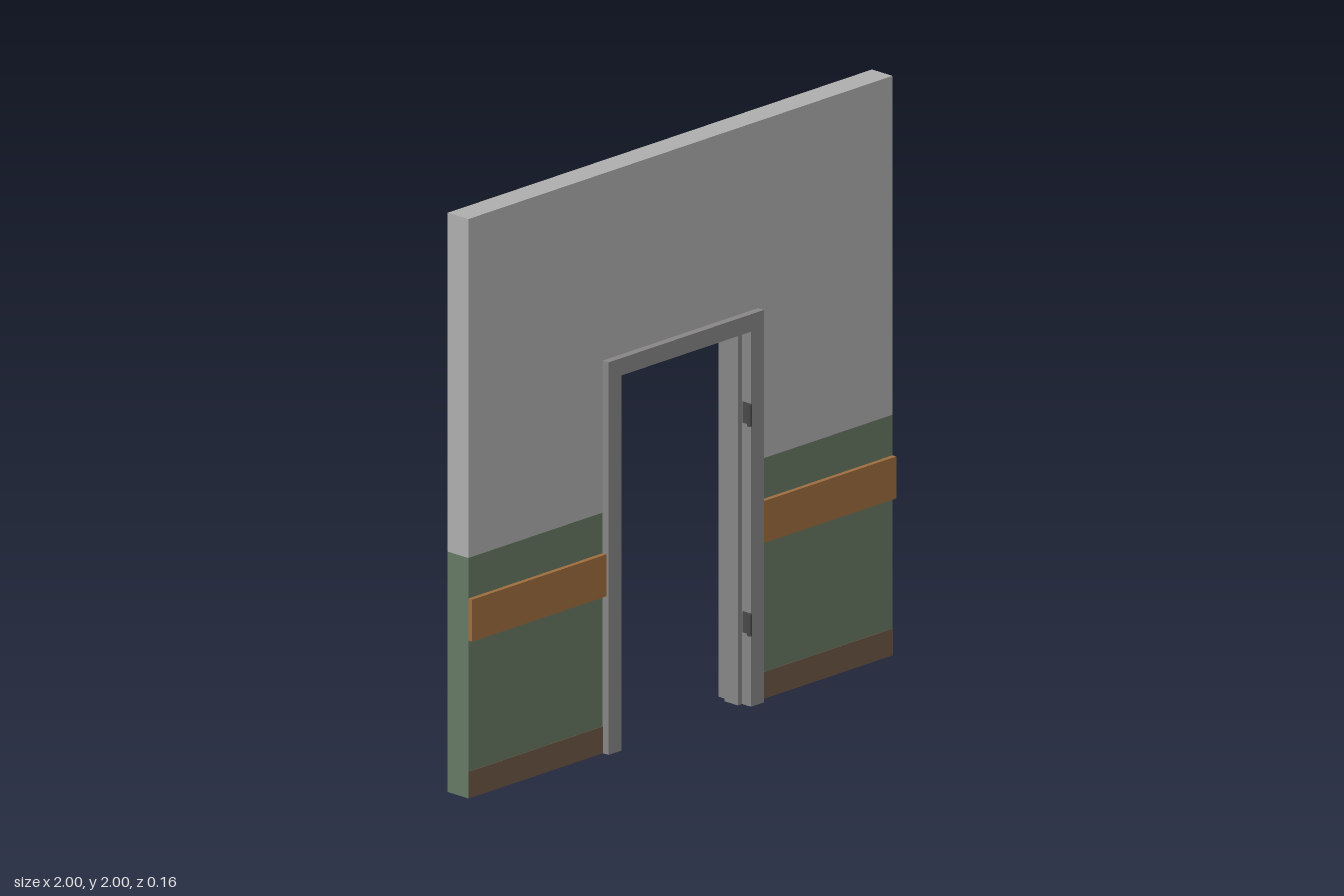
import * as THREE from 'three';

export function createModel() {
  const root = new THREE.Group();
  root.name = 'doorwayWall';

  const mat = (name, color) => {
    const m = new THREE.MeshStandardMaterial({ color });
    m.name = name;
    return m;
  };
  const plaster = mat('grey plaster', 0xb0b0b0);
  const green = mat('green paint', 0x677a65);
  const wood = mat('orange wood', 0xa06e40);
  const brown = mat('brown skirting', 0x6e5746);
  const metal = mat('grey frame', 0x898787);
  const dark = mat('dark hinge', 0x4a4a4a);

  const add = (name, geometry, material) => {
    const mesh = new THREE.Mesh(geometry, material);
    mesh.name = name;
    root.add(mesh);
    return mesh;
  };
  // Box given by its lower and upper limits on each axis
  const box = (name, [x0, x1], [y0, y1], [z0, z1], material) => {
    const g = new THREE.BoxGeometry(x1 - x0, y1 - y0, z1 - z0);
    g.translate((x0 + x1) / 2, (y0 + y1) / 2, (z0 + z1) / 2);
    return add(name, g, material);
  };
  // Upside-down U standing from y0, extruded between two depths
  const arch = (name, outX, outY, inX, inY, y0, [z0, z1], material) => {
    const s = new THREE.Shape([
      [-outX, y0], [-inX, y0], [-inX, inY], [inX, inY],
      [inX, y0], [outX, y0], [outX, outY], [-outX, outY],
    ].map(([x, y]) => new THREE.Vector2(x, y)));
    const g = new THREE.ExtrudeGeometry(s, { depth: z1 - z0, bevelEnabled: false });
    g.translate(0, 0, z0);
    return add(name, g, material);
  };

  const wallZ = [-0.05, 0.043];
  const paintTop = 0.83;

  // Upper plaster wall around the head of the doorway
  arch('upperWall', 1, 2, 0.35, 1.34, paintTop, wallZ, plaster);

  // Painted lower wall, skirting band and wooden rail on both sides
  for (const side of [-1, 1]) {
    const label = side > 0 ? 'left' : 'right';
    const span = (a, b) => (side > 0 ? [a, b] : [-b, -a]);
    box(label + 'LowerWall', span(0.35, 1), [0, paintTop], wallZ, green);
    box(label + 'Skirting', span(0.355, 1), [0, 0.092], [0.043, 0.045], brown);
    box(label + 'Rail', span(0.355, 1), [0.545, 0.69], [0.043, 0.06], wood);
  }

  // Door frame with a narrower stop running round its middle
  arch('doorFrame', 0.367, 1.355, 0.305, 1.295, 0, [-0.078, 0.07], metal);
  arch('doorStop', 0.306, 1.296, 0.285, 1.278, 0, [-0.03, 0.03], metal);

  // Two hinges on the left jamb: knuckle and leaf
  for (const [name, y] of [['lowerHinge', 0.286], ['upperHinge', 1.01]]) {
    const knuckle = new THREE.CylinderGeometry(0.008, 0.008, 0.076, 12);
    knuckle.translate(0.296, y, 0.072);
    add(name + 'Knuckle', knuckle, dark);
    box(name + 'Leaf', [0.301, 0.306], [y - 0.036, y + 0.036], [0.035, 0.069], dark);
  }

  return root;
}
